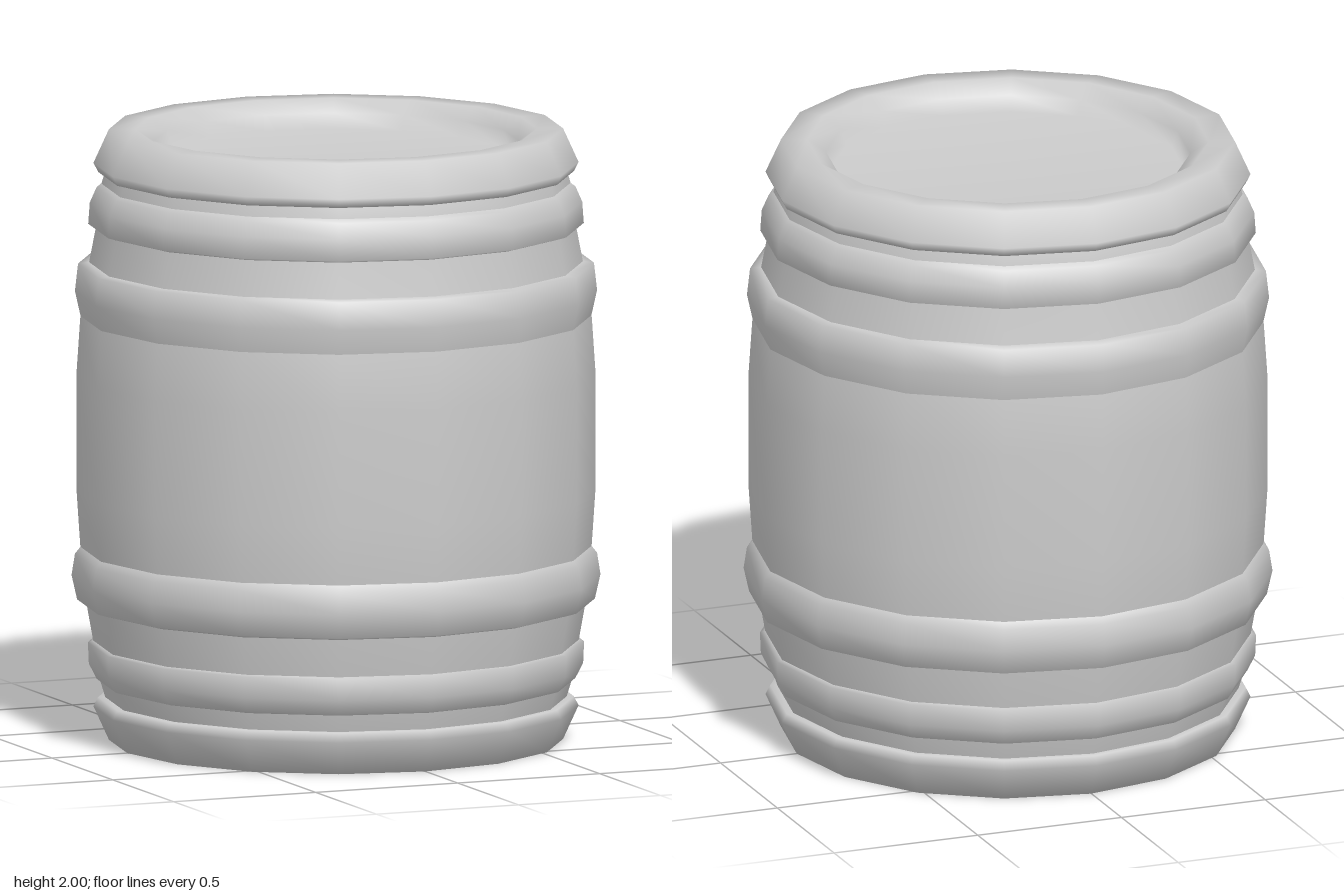
import * as THREE from 'three';

const SIDES = 16;
const material = new THREE.MeshStandardMaterial({ color: 0xcccccc });

// Turns a [radius, height] profile, listed bottom to top, around the y axis
function turned(name, profile) {
  const points = profile.map(([r, y]) => new THREE.Vector2(r, y));
  const mesh = new THREE.Mesh(new THREE.LatheGeometry(points, SIDES), material);
  mesh.name = name;
  return mesh;
}

export function createModel() {
  const barrel = new THREE.Group();
  barrel.name = 'barrel';

  // Bulging wooden body
  barrel.add(turned('body', [
    [0.735, 0.1], [0.765, 0.2], [0.785, 0.32], [0.81, 0.46], [0.828, 0.64], [0.84, 0.82],
    [0.84, 1.2], [0.828, 1.38], [0.8, 1.56], [0.775, 1.69], [0.76, 1.82], [0.735, 1.9],
  ]));

  // Raised hoops
  barrel.add(turned('lowerOuterHoop', [[0.76, 0.195], [0.775, 0.2], [0.8, 0.25], [0.803, 0.32], [0.78, 0.327]]));
  barrel.add(turned('lowerInnerHoop', [[0.805, 0.45], [0.838, 0.46], [0.856, 0.54], [0.845, 0.61], [0.825, 0.635]]));
  barrel.add(turned('upperInnerHoop', [[0.825, 1.38], [0.845, 1.47], [0.835, 1.56], [0.795, 1.565]]));
  barrel.add(turned('upperOuterHoop', [[0.77, 1.68], [0.802, 1.69], [0.797, 1.76], [0.775, 1.81], [0.755, 1.825]]));

  // Rounded rim with its recessed end disc, mirrored for the bottom
  const rim = [
    [0.735, 1.86], [0.77, 1.86], [0.785, 1.89], [0.735, 2],
    [0.65, 2], [0.59, 1.96], [0.57, 1.91], [0, 1.91],
  ];
  barrel.add(turned('topRimAndLid', rim));
  barrel.add(turned('bottomRimAndBase', rim.map(([r, y]) => [r, 2 - y]).reverse()));

  return barrel;
}
